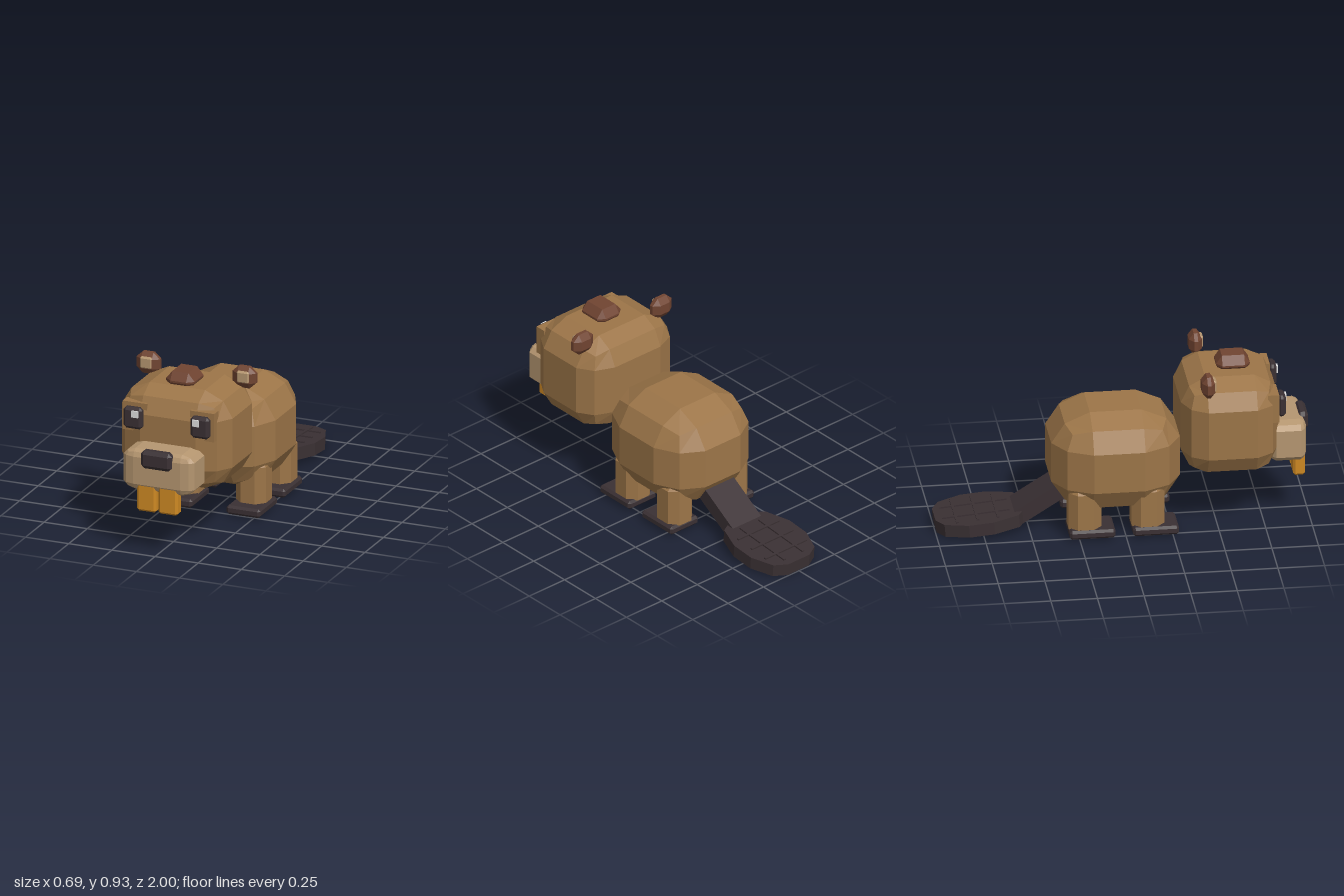
import * as THREE from 'three';
import { ConvexGeometry } from 'three/addons/geometries/ConvexGeometry.js';

const paint = (name, color) => {
  const m = new THREE.MeshStandardMaterial({ color, flatShading: true });
  m.name = name;
  return m;
};

// Puffed box: flat face centres, with edges and corners drawn inwards.
function puffedBox(w, h, d, inner, edge, corner) {
  const geo = new THREE.BoxGeometry(2, 2, 2, 3, 3, 3).toNonIndexed();
  const p = geo.attributes.position;
  for (let i = 0; i < p.count; i++) {
    const v = [p.getX(i), p.getY(i), p.getZ(i)];
    const outer = v.filter((c) => Math.abs(c) > 0.9).length;
    const reach = [1, 1, edge, corner][outer];
    const q = v.map((c) => Math.sign(c) * (Math.abs(c) > 0.9 ? reach : inner));
    p.setXYZ(i, q[0] * w / 2, q[1] * h / 2, q[2] * d / 2);
  }
  geo.computeVertexNormals();
  return geo;
}

// Box with chamfered edges; c holds the chamfer along each axis.
function chamferBox(w, h, d, c) {
  const [cx, cy, cz] = Array.isArray(c) ? c : [c, c, c];
  const x = w / 2, y = h / 2, z = d / 2, pts = [];
  for (const a of [-1, 1]) for (const b of [-1, 1]) for (const e of [-1, 1]) {
    pts.push(new THREE.Vector3(a * x, b * (y - cy), e * (z - cz)));
    pts.push(new THREE.Vector3(a * (x - cx), b * y, e * (z - cz)));
    pts.push(new THREE.Vector3(a * (x - cx), b * (y - cy), e * z));
  }
  return new ConvexGeometry(pts);
}

export function createModel() {
  const model = new THREE.Group();
  model.name = 'beaver';
  const fur = paint('brown fur', 0x9c7548);
  const dark = paint('dark skin', 0x3a3033);
  const reddish = paint('reddish fur', 0x704431);
  const tan = paint('tan fur', 0xb59670);
  const orange = paint('orange teeth', 0xcd8823);
  const white = paint('eye highlight', 0xdedede);

  const add = (name, geo, mat, x, y, z, parent = model) => {
    const mesh = new THREE.Mesh(geo, mat);
    mesh.name = name;
    mesh.position.set(x, y, z);
    parent.add(mesh);
    return mesh;
  };

  // Body and head
  add('body', puffedBox(0.62, 0.565, 0.69, 0.4, 0.79, 0.7), fur, 0, 0.4025, -0.04);
  add('head', puffedBox(0.64, 0.555, 0.525, 0.5, 0.83, 0.76), fur, 0, 0.5925, 0.5675);
  add('hairTuft', chamferBox(0.165, 0.1, 0.18, [0.037, 0.045, 0.03]), reddish, 0, 0.886, 0.6);

  // Face
  add('muzzle', puffedBox(0.41, 0.232, 0.2, 0.66, 0.88, 0.83), tan, 0, 0.468, 0.88);
  add('nose', chamferBox(0.18, 0.102, 0.06, [0.02, 0.02, 0.018]), dark, 0, 0.541, 0.97);

  for (const s of [-1, 1]) {
    const side = s > 0 ? 'left' : 'right';
    add(side + 'Tooth', chamferBox(0.113, 0.16, 0.062, 0.012), orange, s * 0.062, 0.32, 0.946);
    add(side + 'Eye', chamferBox(0.109, 0.122, 0.045, 0.016), dark, s * 0.194, 0.711, 0.838);
    add(side + 'EyeHighlight', new THREE.BoxGeometry(0.038, 0.037, 0.009), white, s * 0.176, 0.739, 0.864);

    // Angled brow: a bar above the eye and one along its outer side
    add(side + 'BrowTop', new THREE.BoxGeometry(0.14, 0.036, 0.06), fur, s * 0.195, 0.772, 0.79);
    add(side + 'BrowSide', new THREE.BoxGeometry(0.06, 0.125, 0.06), fur, s * 0.235, 0.6915, 0.79);

    // Ears
    add(side + 'Ear', chamferBox(0.136, 0.122, 0.072, [0.037, 0.034, 0.026]), reddish, s * 0.278, 0.876, 0.437);
    add(side + 'InnerEar', chamferBox(0.07, 0.066, 0.03, 0.008), tan, s * 0.28, 0.882, 0.464);

    // Legs and feet
    for (const [end, legZ, footZ] of [['Front', 0.12, 0.1575], ['Back', -0.2175, -0.1825]]) {
      add(side + end + 'Leg', chamferBox(0.172, 0.299, 0.176, 0.045), fur, s * 0.195, 0.1625, legZ);
      add(side + end + 'Foot', chamferBox(0.196, 0.05, 0.246, 0.013), dark, s * 0.197, 0.04, footZ);
    }
  }

  // Tail: sloping stem and a flat paddle with a raised grid
  const stem = add('tailStem', new THREE.BoxGeometry(0.2, 0.084, 0.36), dark, 0, 0.163, -0.416);
  stem.rotation.x = -0.56;

  const paddle = new THREE.Group();
  paddle.name = 'tailPaddle';
  paddle.position.set(0, 0.043, -0.545);
  paddle.rotation.x = -0.085;
  model.add(paddle);
  const half = [[0.09, -0.02], [0.145, 0.01], [0.195, 0.15], [0.195, 0.285], [0.145, 0.41], [0.075, 0.45]];
  const outline = [...half, ...half.map(([x, y]) => [-x, y]).reverse()];
  const shape = new THREE.Shape(outline.map(([x, y]) => new THREE.Vector2(x, y)));
  const slab = new THREE.ExtrudeGeometry(shape, { depth: 0.07, bevelEnabled: false });
  slab.rotateX(-Math.PI / 2);
  add('paddleSlab', slab, dark, 0, 0, 0, paddle);
  for (const x of [-0.065, 0.065]) {
    add('paddleLongRidge', new THREE.BoxGeometry(0.014, 0.014, 0.36), dark, x, 0.071, -0.23, paddle);
  }
  for (const z of [-0.12, -0.23, -0.34]) {
    add('paddleCrossRidge', new THREE.BoxGeometry(0.29, 0.014, 0.014), dark, 0, 0.071, z, paddle);
  }

  return model;
}
